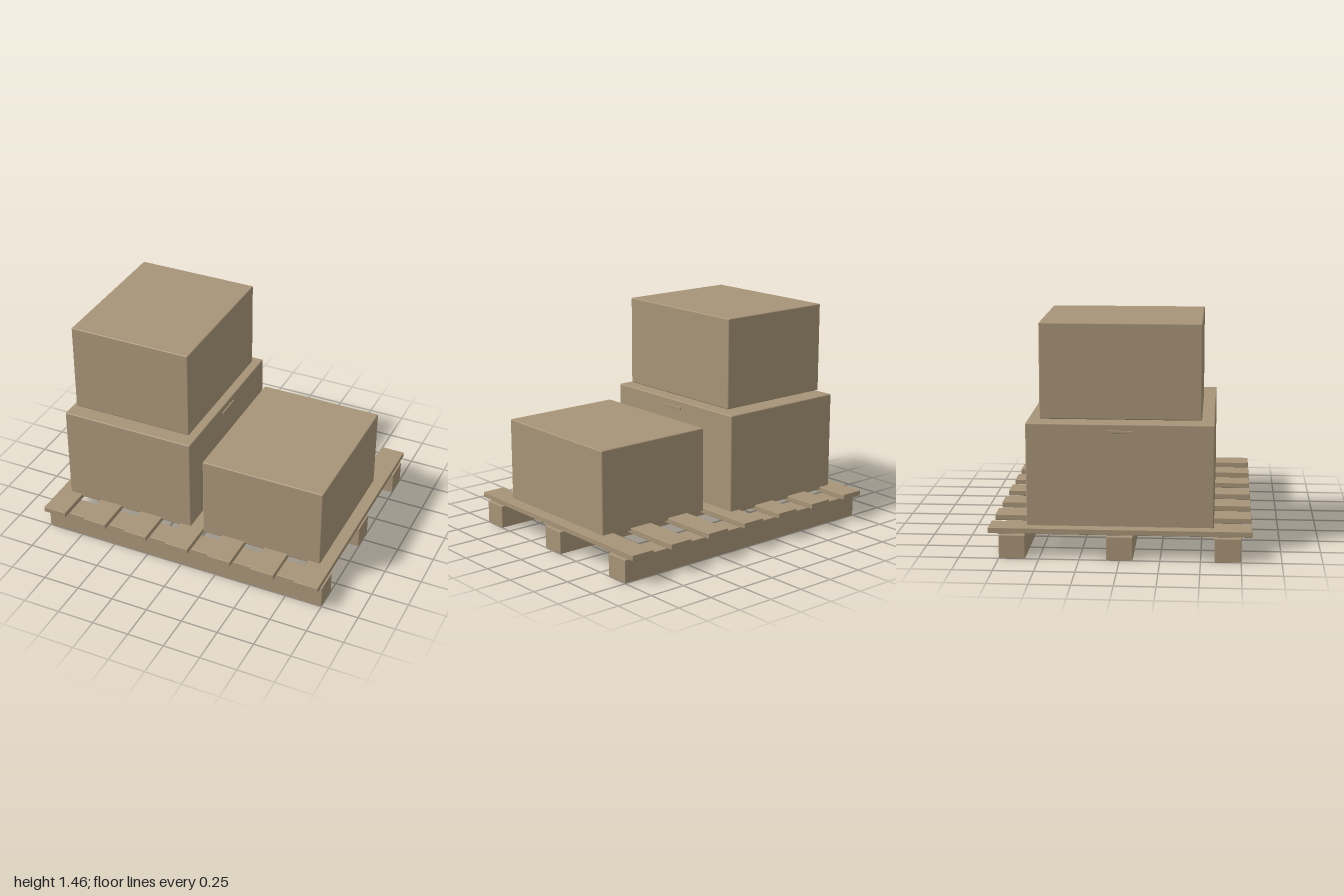
import * as THREE from 'three';
import { RoundedBoxGeometry } from 'three/addons/geometries/RoundedBoxGeometry.js';

export function createModel() {
  const model = new THREE.Group();
  model.name = 'loadedPallet';
  const cardboard = new THREE.MeshStandardMaterial({ color: 0xa89478 });
  cardboard.name = 'cardboard brown';

  // Softly edged block given by its extents on each axis
  function block(name, [x0, x1], [y0, y1], [z0, z1], radius, parent = model) {
    const geometry = new RoundedBoxGeometry(x1 - x0, y1 - y0, z1 - z0, 2, radius);
    const mesh = new THREE.Mesh(geometry, cardboard);
    mesh.name = name;
    mesh.position.set((x0 + x1) / 2, (y0 + y1) / 2, (z0 + z1) / 2);
    parent.add(mesh);
    return mesh;
  }

  // Pallet: three runners under seven slats
  const pallet = new THREE.Group();
  pallet.name = 'pallet';
  model.add(pallet);
  for (const z of [-0.667, 0, 0.667]) {
    block('runner', [-1, 1], [0, 0.15], [z - 0.082, z + 0.082], 0.004, pallet);
  }
  for (let i = 0; i < 7; i++) {
    const x = -1 + i * 0.305;
    block('slat', [x, x + 0.163], [0.16, 0.196], [-0.815, 0.815], 0.003, pallet);
  }

  // Cartons, the small one resting above the tall one
  block('tallCarton', [-0.926, -0.01], [0.178, 0.843], [-0.584, 0.58], 0.008);
  block('lowCarton', [0.08, 0.914], [0.178, 0.745], [-0.416, 0.58], 0.008);
  block('topCarton', [-0.885, -0.054], [0.862, 1.46], [-0.5, 0.5], 0.008);

  // Grip strips on both sides of the tall carton
  for (const x of [-0.926, -0.01]) {
    block('gripStrip', [x - 0.008, x + 0.008], [0.785, 0.803], [-0.083, 0.083], 0.002);
  }
  return model;
}
